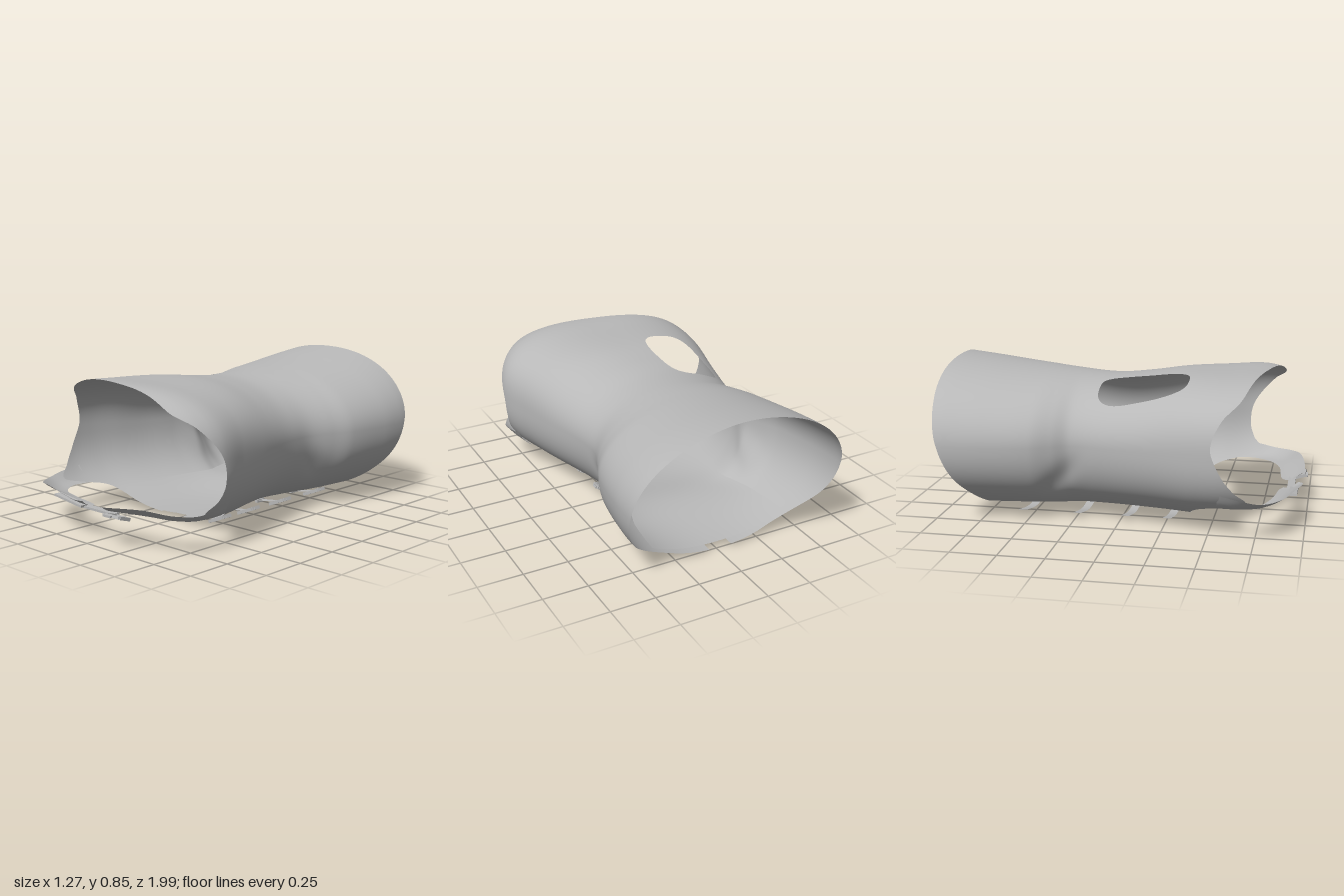
import * as THREE from 'three';

const grey = new THREE.MeshStandardMaterial({ color: 0xb8b8b8, side: THREE.DoubleSide });
grey.name = 'grey plastic';

// Smooth curve through [input, output] pairs
function spline(p) {
  const slope = i => {
    const a = p[Math.max(i - 1, 0)], b = p[Math.min(i + 1, p.length - 1)];
    return (b[1] - a[1]) / (b[0] - a[0]);
  };
  return t => {
    if (t <= p[0][0]) return p[0][1];
    if (t >= p[p.length - 1][0]) return p[p.length - 1][1];
    let i = 0;
    while (t > p[i + 1][0]) i++;
    const h = p[i + 1][0] - p[i][0], s = (t - p[i][0]) / h, s2 = s * s, s3 = s2 * s;
    return (2 * s3 - 3 * s2 + 1) * p[i][1] + (s3 - 2 * s2 + s) * h * slope(i)
      + (3 * s2 - 2 * s3) * p[i + 1][1] + (s3 - s2) * h * slope(i + 1);
  };
}

// Outlines of the body along z
const rightX = spline([[-1, -.63], [-.9, -.635], [-.7, -.62], [-.45, -.575], [-.34, -.525], [-.25, -.482],
  [-.1, -.5], [.1, -.54], [.25, -.57], [.45, -.615], [.6, -.63], [.85, -.6]]);
const leftX = spline([[-1, .6], [-.9, .607], [-.75, .6], [-.5, .56], [-.38, .51], [-.25, .462],
  [-.15, .455], [0, .475], [.25, .54], [.45, .59], [.63, .632], [.75, .615], [.88, .56]]);
const topY = spline([[-1, .855], [-.8, .83], [-.6, .805], [-.4, .785], [-.1, .762], [.1, .775],
  [.3, .797], [.55, .805], [.75, .81], [.88, .785]]);
const floorY = spline([[-.8, .022], [-.4, .03], [0, .04], [.4, .036]]);

// Corner roundness of the upper and lower halves: 1 is an ellipse, less is boxier
const topPower = spline([[-1, .98], [-.1, .98], [.1, .92], [.4, .78], [.7, .7]]);
const floorPower = spline([[-1, .92], [-.2, .88], [.4, .8]]);

// End edges as functions of height
const backZ = spline([[.03, -.77], [.08, -.755], [.14, -.78], [.27, -.87], [.45, -.938], [.7, -.985], [.83, -.998]]);
const frontZ = spline([[.03, .38], [.1, .4], [.14, .46], [.165, .58], [.2, .7], [.27, .65], [.36, .62],
  [.5, .64], [.66, .76], [.74, .845], [.83, .86]]);

const pow = (v, p) => Math.sign(v) * Math.pow(Math.abs(v), p);
const gauss = (d, w) => Math.exp(-d * d / (w * w));
const MID = .45;

// Point on the body at angle a (0 = left side, 90 degrees = top)
function section(a, z) {
  const p = Math.sin(a) > 0 ? topPower(z) : floorPower(z);
  const c = pow(Math.cos(a), p), s = pow(Math.sin(a), p);
  const l = leftX(z), r = rightX(z);
  const x = (l + r) / 2 + c * (l - r) / 2;
  const y = MID + s * (s > 0 ? topY(z) - MID : MID - floorY(z));
  // Creases above the hips, running down and back
  const crease = .022 * gauss(z + .31 - .6 * (y - .27), .07) * gauss(y - .25, .11) * Math.abs(c);
  return new THREE.Vector3(x - Math.sign(c) * crease, y, z);
}

// Angle on the upper half that lies at a given x
function angleAt(x, z) {
  const l = leftX(z), r = rightX(z);
  return Math.acos(pow((2 * x - l - r) / (l - r), 1 / topPower(z)));
}

function endsAt(a) {
  const height = p => {
    const s = pow(Math.sin(a), p);
    return MID + s * (s > 0 ? .37 : .42);
  };
  const back = backZ(height(.9)) + (Math.sin(a) > 0 ? .015 * gauss(Math.cos(a), .35) : 0);
  const y = height(Math.sin(a) > 0 ? .7 : .8);
  const slant = .19 * (.6 * pow(Math.cos(a), .7) - .5);
  return [back, frontZ(y) + THREE.MathUtils.smoothstep(y, .2, .75) * slant];
}

// Sheet of nu by nv cells; skip(i, j) leaves a cell out
function sheet(name, f, nu, nv, skip) {
  const pos = [], idx = [], w = nv + 1;
  for (let i = 0; i <= nu; i++) for (let j = 0; j <= nv; j++) pos.push(...f(i / nu, j / nv).toArray());
  for (let i = 0; i < nu; i++) for (let j = 0; j < nv; j++) {
    if (skip && skip(i, j)) continue;
    const a = i * w + j, b = a + w;
    idx.push(a, b, a + 1, b, b + 1, a + 1);
  }
  const g = new THREE.BufferGeometry();
  g.setAttribute('position', new THREE.Float32BufferAttribute(pos, 3));
  g.setIndex(idx);
  g.computeVertexNormals();
  const m = new THREE.Mesh(g, grey);
  m.name = name;
  return m;
}

function box(name, w, h, d, x, y, z) {
  const m = new THREE.Mesh(new THREE.BoxGeometry(w, h, d), grey);
  m.name = name;
  m.position.set(x, y, z);
  return m;
}

// Rectangular frame with a pin across it, lying flat
function buckle(w, d) {
  const g = new THREE.Group();
  g.name = 'buckle';
  for (const s of [-1, 1]) {
    g.add(box('buckleSide', w, .016, .012, 0, 0, s * d / 2));
    g.add(box('buckleBar', .014, .018, d, s * w / 2, 0, 0));
  }
  g.add(box('bucklePin', w, .008, .01, 0, -.006, 0));
  return g;
}

// Body shell with a rounded belly opening and a slit along the underside
function body() {
  const D = Math.PI / 180, nu = 210, nv = 110;
  const hole = { x: -.257, z: .115, rx: .147, rz: .245 };
  const param = (u, v) => {
    const a = (-85 + 350 * u) * D, [b, f] = endsAt(a);
    return [a, b + (f - b) * v];
  };
  const reach = (a, z) => Math.sin(a) < .2 ? 9 : Math.pow(
    Math.pow(Math.abs((section(a, z).x - hole.x) / hole.rx), 3.3)
    + Math.pow(Math.abs((z - hole.z) / hole.rz), 3.3), 1 / 3.3);
  const inside = (i, j) => reach(...param(i / nu, j / nv)) < 1;
  return sheet('bodyShell', (u, v) => {
    let [a, z] = param(u, v);
    const k = reach(a, z);
    if (k < 1 && k > .3) {
      const x = hole.x + (section(a, z).x - hole.x) / k;
      z = hole.z + (z - hole.z) / k;
      a = angleAt(x, z);
    }
    return section(a, z);
  }, nu, nv, (i, j) => inside(i, j) && inside(i + 1, j) && inside(i, j + 1) && inside(i + 1, j + 1));
}

// Inner tongue closing the slit
function tongue() {
  return sheet('innerTongue', (u, v) => {
    const a = THREE.MathUtils.degToRad(230 + 78 * u), z = -.74 + 1.11 * v;
    const p = section(a, z);
    p.y += .01 + .065 * gauss(z + .35, .28) * Math.sin(Math.PI * u);
    return p;
  }, 30, 40);
}

// Collar arm curving from one side to the front
function collarArm(side, endX) {
  const V = (x, y, z) => new THREE.Vector3(side * x, y, z);
  const outer = new THREE.CatmullRomCurve3([V(.588, .255, .56), V(.602, .235, .68), V(.585, .218, .78),
    V(.51, .225, .88), V(.37, .24, .945), V(endX + .04, .212, .975), V(endX, .205, .95)]);
  const inner = new THREE.CatmullRomCurve3([V(.512, .163, .54), V(.518, .165, .65), V(.485, .165, .72),
    V(.42, .168, .78), V(.3, .172, .825), V(endX + .04, .168, .85), V(endX, .17, .87)]);
  return sheet('collarArm', (u, v) => {
    const p = outer.getPoint(u).lerp(inner.getPoint(u), v);
    p.y -= .012 * Math.sin(Math.PI * v);
    return p;
  }, 40, 6);
}

export function createModel() {
  const model = new THREE.Group();
  model.name = 'bodyBrace';
  model.add(body(), tongue(), collarArm(-1, .09), collarArm(1, .055));

  // Front closure
  const closure = new THREE.Group();
  closure.name = 'frontClosure';
  closure.add(box('closureStrap', .3, .012, .04, -.02, .168, .91));
  const end = box('strapEnd', .22, .012, .045, -.21, .187, .93);
  end.rotation.z = -.12;
  const clip = buckle(.1, .07);
  clip.position.set(.18, .172, .945);
  clip.rotation.x = -.3;
  closure.add(end, clip, box('clipTail', .06, .012, .03, .15, .18, .98));
  model.add(closure);

  // Four straps with buckles across the underside
  for (const z of [.29, .06, -.21, -.52]) {
    const strap = new THREE.Group();
    strap.name = 'backStrap';
    const path = new THREE.CatmullRomCurve3([[.32, .078], [.24, .045], [.12, .026], [-.04, .018],
      [-.18, .008], [-.36, .04]].map(([x, y]) => new THREE.Vector3(x, y, z)));
    strap.add(sheet('strapBand', (u, v) => {
      const p = path.getPoint(u);
      p.z += (v - .5) * .045 - .03 * u;
      return p;
    }, 24, 1));
    const b = buckle(.11, .06);
    b.position.set(.265, .048, z);
    b.rotation.z = .4;
    b.add(box('bucklePlate', .06, .012, .035, .04, -.004, 0));
    strap.add(b, box('strapLoop', .02, .018, .06, .1, .02, z - .012));
    model.add(strap);
  }
  return model;
}
